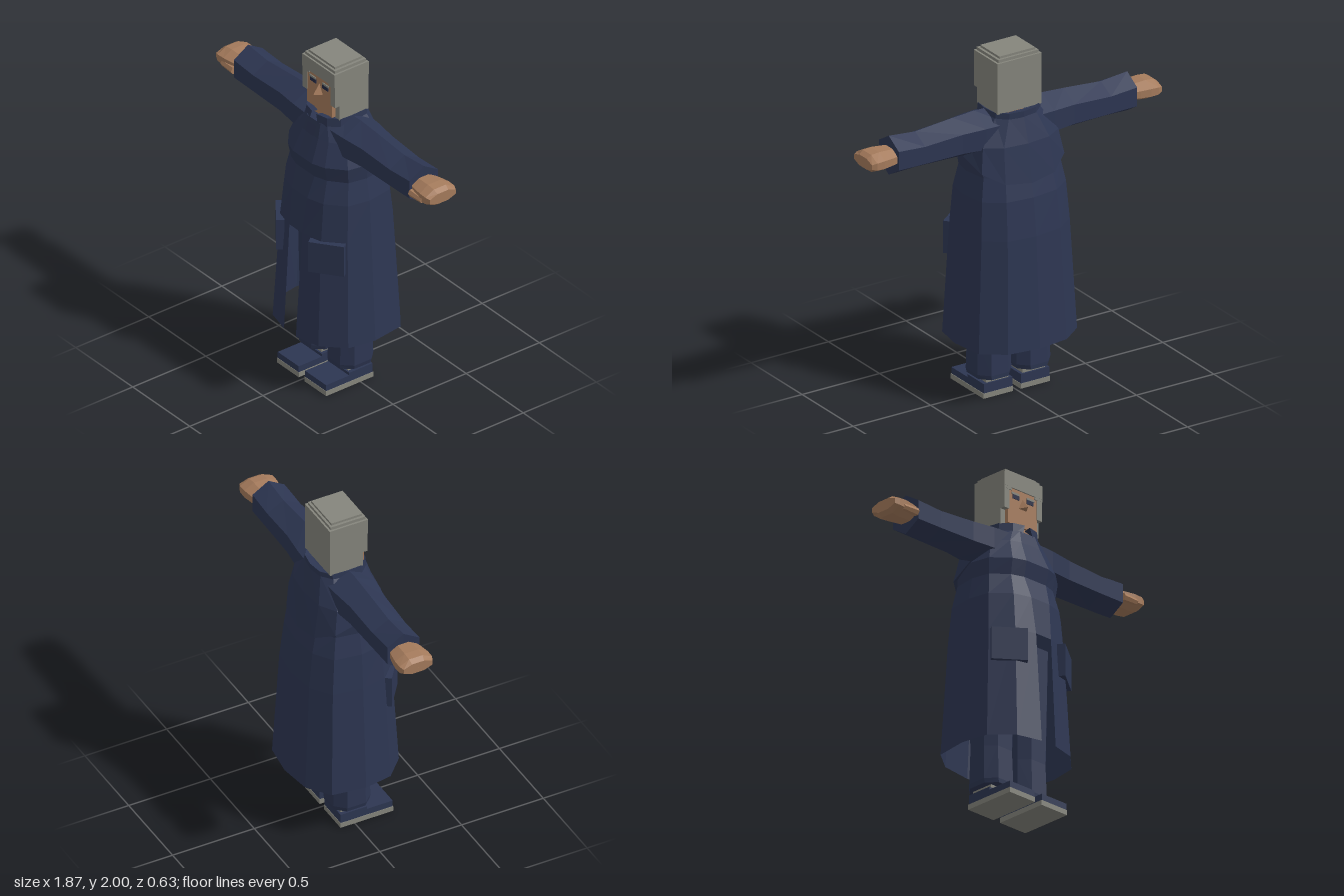
import * as THREE from 'three';

const flat = (color, name) => new THREE.MeshStandardMaterial({ color, name, flatShading: true, side: THREE.DoubleSide });

export function createModel() {
  const navy = flat(0x2d3652, 'navy cloth');
  const skin = flat(0xa57b5c, 'skin');
  const grey = flat(0x85857c, 'grey');
  const dark = flat(0x252b45, 'eye blue');
  const model = new THREE.Group();
  model.name = 'figure';

  const add = (name, geometry, material, parent = model) => {
    const mesh = new THREE.Mesh(geometry, material);
    mesh.name = name;
    parent.add(mesh);
    return mesh;
  };

  // Box given by its extents
  const box = (name, x0, x1, y0, y1, z0, z1, material, parent) => {
    const g = new THREE.BoxGeometry(Math.abs(x1 - x0), y1 - y0, z1 - z0);
    g.translate((x0 + x1) / 2, (y0 + y1) / 2, (z0 + z1) / 2);
    return add(name, g, material, parent);
  };

  // Skin a list of equal-length rings of [x, y, z]
  const loft = (rings, closed = true) => {
    const n = rings[0].length, index = [];
    for (let r = 0; r < rings.length - 1; r++) {
      for (let i = 0; i < (closed ? n : n - 1); i++) {
        const j = (i + 1) % n, a = r * n + i, b = r * n + j;
        index.push(a, b, b + n, a, b + n, a + n);
      }
    }
    const g = new THREE.BufferGeometry();
    g.setAttribute('position', new THREE.Float32BufferAttribute(rings.flat(2), 3));
    g.setIndex(index);
    const out = g.toNonIndexed();
    out.computeVertexNormals();
    return out;
  };

  // Coat cross-section, from the left front edge round the back to the right front edge
  const section = (y, w, front, back, gap) => {
    const half = [[gap, 1], [0.58, 0.88], [0.92, 0.52], [1, 0], [0.92, -0.62], [0.55, -0.92]];
    const point = (s) => ([u, v]) => [s * u * w, y, v * (v > 0 ? front : back)];
    return [...half.map(point(1)), [0, y, -back], ...half.map(point(-1)).reverse()];
  };

  // Long coat, open at the front below the waist
  const coatRings = [
    [0.33, 0.345, 0.315, 0.315, 0.15], [0.98, 0.31, 0.275, 0.278, 0.18],
    [1.2, 0.295, 0.25, 0.252, 0.23], [1.33, 0.27, 0.21, 0.22, 0.3],
    [1.42, 0.28, 0.23, 0.2, 0.3], [1.55, 0.23, 0.175, 0.17, 0.3],
    [1.63, 0.16, 0.15, 0.145, 0.35], [1.645, 0.02, 0.02, 0.02, 0.35],
  ].map((r) => section(...r));
  add('coat', loft(coatRings, false), navy);
  add('placket', loft(coatRings.slice(1).map((r) => [r[r.length - 1], r[0]]), false), navy);

  // Small chest panel following the front slope
  add('chestPanel', loft([
    [[-0.035, 1.43, 0.23], [0.035, 1.43, 0.23]],
    [[-0.035, 1.55, 0.181], [0.035, 1.55, 0.181]],
    [[-0.035, 1.61, 0.165], [0.035, 1.61, 0.165]],
  ], false), navy);

  // Loose cape across the back, its hem sagging in the middle
  const capeTop = section(1.645, 0.16, 0.15, 0.155, 0.3).slice(3, 10);
  const capeMid = section(1.5, 0.265, 0.2, 0.2, 0.3).slice(3, 10);
  const capeHem = section(1.28, 0.29, 0.2, 0.238, 0.3).slice(3, 10);
  const rise = [0.14, 0.08, 0.02, 0, 0.02, 0.08, 0.14];
  capeHem.forEach((p, i) => { p[1] += rise[i]; });
  const capeTuck = capeHem.map(([x, y, z]) => [x * 0.9, y + 0.01, z * 0.88]);
  add('backCape', loft([capeTop, capeMid, capeHem, capeTuck], false), navy);

  // Standing collar
  add('collar', loft([
    section(1.6, 0.165, 0.155, 0.155, 0.25), section(1.675, 0.155, 0.15, 0.158, 0.12),
    section(1.665, 0.12, 0.11, 0.12, 0.15),
  ], false), navy);

  // Head, neck and hair
  const head = new THREE.Group();
  head.name = 'head';
  model.add(head);
  box('neck', -0.06, 0.06, 1.58, 1.7, -0.06, 0.1, skin, head);
  box('face', -0.11, 0.11, 1.68, 1.9, -0.06, 0.113, skin, head);
  box('hairBack', -0.142, 0.142, 1.67, 1.9, -0.112, -0.05, grey, head);
  box('hairCap', -0.142, 0.142, 1.89, 1.97, -0.114, 0.12, grey, head);
  box('hairStep', -0.13, 0.13, 1.97, 1.987, -0.103, 0.11, grey, head);
  box('hairTop', -0.115, 0.115, 1.987, 2, -0.09, 0.097, grey, head);
  add('nose', loft([
    [[0, 1.848, 0.112], [-0.03, 1.785, 0.112], [0.03, 1.785, 0.112]],
    [[0, 1.79, 0.155], [0, 1.79, 0.155], [0, 1.79, 0.155]],
  ]), skin, head);

  for (const s of [1, -1]) {
    const side = s > 0 ? 'left' : 'right';
    const part = (name) => side + name;

    // Hair and eye details
    box(part('HairSide'), s * 0.105, s * 0.142, 1.67, 1.9, -0.06, 0.088, grey, head);
    box(part('HairLock'), s * 0.105, s * 0.142, 1.76, 1.9, 0.08, 0.118, grey, head);
    box(part('Fringe'), s * 0.085, s * 0.142, 1.875, 1.9, 0.08, 0.119, grey, head);
    box(part('Brow'), s * 0.03, s * 0.085, 1.856, 1.868, 0.112, 0.118, grey, head);
    box(part('Eye'), s * 0.028, s * 0.077, 1.832, 1.856, 0.112, 0.117, dark, head);

    // Six-sided sleeve with a closed cuff
    const sleeveRing = (x, mid, h, d) => [[1, 0], [0.48, 1], [-0.48, 1], [-1, 0], [-0.48, -1], [0.48, -1]]
      .map(([v, u]) => [s * x, mid + v * h, u * d]);
    add(part('Sleeve'), loft([
      sleeveRing(0.08, 1.555, 0.115, 0.13), sleeveRing(0.22, 1.548, 0.126, 0.122),
      sleeveRing(0.36, 1.547, 0.118, 0.105), sleeveRing(0.6, 1.54, 0.105, 0.1),
      sleeveRing(0.77, 1.546, 0.115, 0.098), sleeveRing(0.765, 1.546, 0.01, 0.01),
    ]), navy);

    // Mitten-like hand and thumb
    const handRing = ([x, h, d]) => Array.from({ length: 8 }, (_, i) => {
      const a = (i + 0.5) * Math.PI / 4;
      return [s * x, 1.547 + 1.08 * h * Math.sin(a), 1.08 * d * Math.cos(a)];
    });
    add(part('Hand'), loft([
      [0.74, 0.045, 0.075], [0.8, 0.05, 0.09], [0.86, 0.055, 0.1],
      [0.91, 0.05, 0.1], [0.937, 0.032, 0.088], [0.937, 0.001, 0.001],
    ].map(handRing)), skin);
    const thumb = new THREE.CylinderGeometry(0.018, 0.024, 0.1, 6);
    thumb.rotateZ(-s * Math.PI / 2);
    thumb.translate(s * 0.825, 1.53, 0.09);
    add(part('Thumb'), thumb, skin);

    // Patch pocket turned to the coat's front corner
    const pocket = add(part('Pocket'), new THREE.BoxGeometry(0.2, 0.19, 0.045), navy);
    pocket.position.set(s * 0.207, 0.88, 0.222);
    pocket.rotation.y = s * 0.64;

    // Trouser leg
    const legRing = ([y, w, d]) => [[1, 0.5], [0.5, 1], [-0.5, 1], [-1, 0.5], [-1, -0.5], [-0.5, -1], [0.5, -1], [1, -0.5]]
      .map(([u, v]) => [s * (0.126 + u * w), y, v * d]);
    add(part('Trouser'), loft([
      [0.11, 0.06, 0.06], [0.11, 0.104, 0.112], [0.135, 0.11, 0.114],
      [0.33, 0.105, 0.106], [1, 0.115, 0.12],
    ].map(legRing)), navy);

    // Shoe
    box(part('Sole'), s * 0.025, s * 0.215, 0, 0.03, -0.087, 0.235, grey);
    box(part('ShoeUpper'), s * 0.028, s * 0.212, 0.03, 0.068, -0.085, 0.233, navy);
    box(part('ShoeHeel'), s * 0.028, s * 0.212, 0.068, 0.085, -0.085, 0.075, navy);
    box(part('Ankle'), s * 0.045, s * 0.19, 0.085, 0.12, -0.075, 0.065, grey);
  }
  return model;
}
